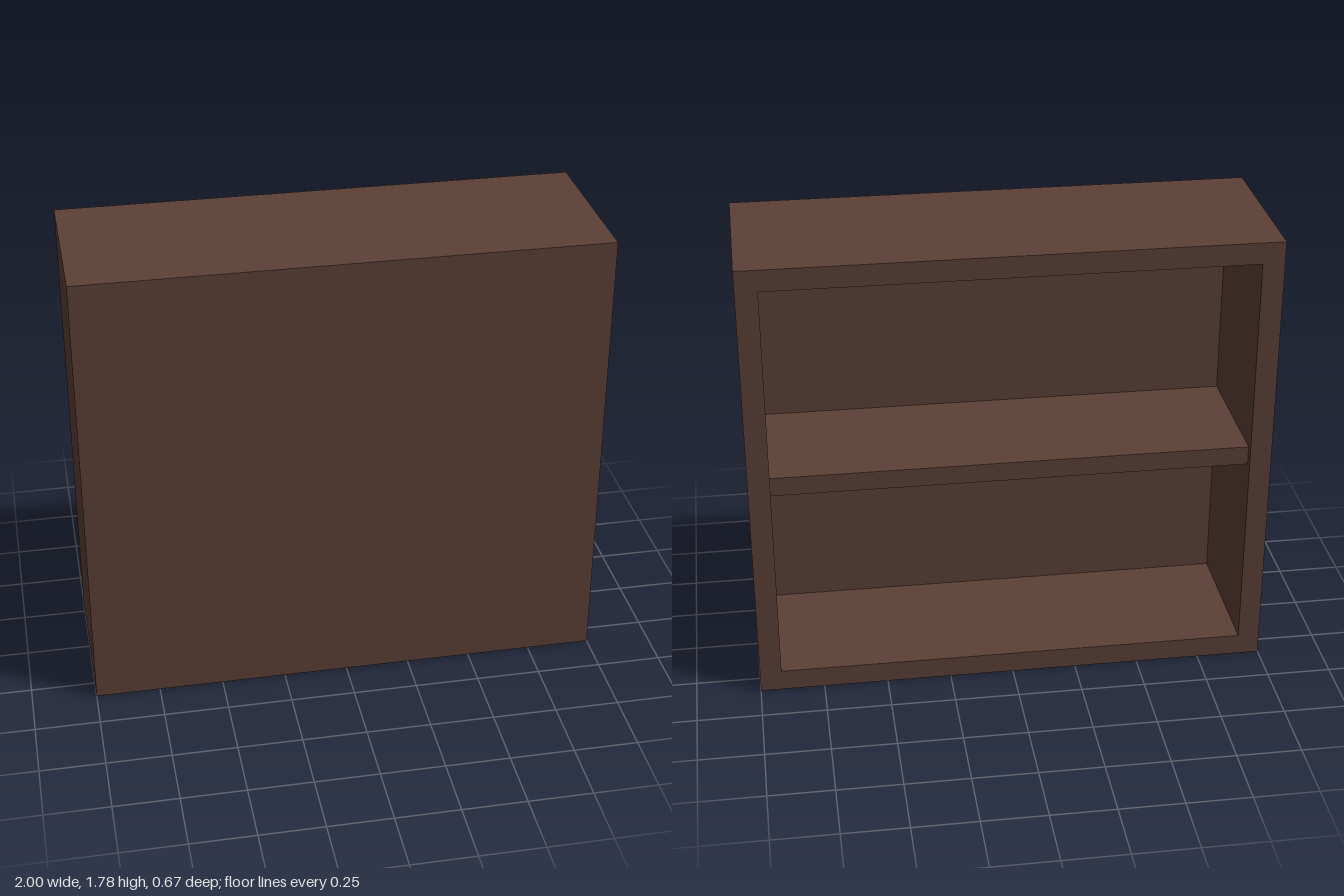
import * as THREE from 'three';

const W = 2, H = 1.785, D = 0.67;   // outer size
const T = 0.084;                    // board thickness
const PANEL = 0.112;                // closed front panel thickness
const SHELF = 0.075, RECESS = 0.03; // shelf thickness and setback from the opening

export function createModel() {
  const group = new THREE.Group();
  group.name = 'bookcase';
  const wood = new THREE.MeshStandardMaterial({ color: 0x5d4037 });
  wood.name = 'dark brown wood';

  const board = (name, w, h, d, x, y, z) => {
    const mesh = new THREE.Mesh(new THREE.BoxGeometry(w, h, d), wood);
    mesh.name = name;
    mesh.position.set(x, y, z);
    group.add(mesh);
  };

  // Case as one frame with a rectangular opening, so its faces stay seamless
  const outline = new THREE.Shape([
    new THREE.Vector2(-W / 2, 0), new THREE.Vector2(W / 2, 0),
    new THREE.Vector2(W / 2, H), new THREE.Vector2(-W / 2, H),
  ]);
  const ix = W / 2 - T;
  outline.holes.push(new THREE.Path([
    new THREE.Vector2(-ix, T), new THREE.Vector2(-ix, H - T),
    new THREE.Vector2(ix, H - T), new THREE.Vector2(ix, T),
  ]));
  const frame = new THREE.Mesh(
    new THREE.ExtrudeGeometry(outline, { depth: D, bevelEnabled: false }), wood);
  frame.name = 'caseFrame';
  frame.position.z = -D / 2;
  group.add(frame);

  // Closed panel filling the +z side of the frame
  board('frontPanel', 2 * ix, H - 2 * T, PANEL, 0, H / 2, D / 2 - PANEL / 2);

  // Middle shelf, set back slightly from the open side
  const depth = D - PANEL - RECESS;
  board('shelf', 2 * ix, SHELF, depth, 0, H / 2, -D / 2 + RECESS + depth / 2);

  return group;
}
